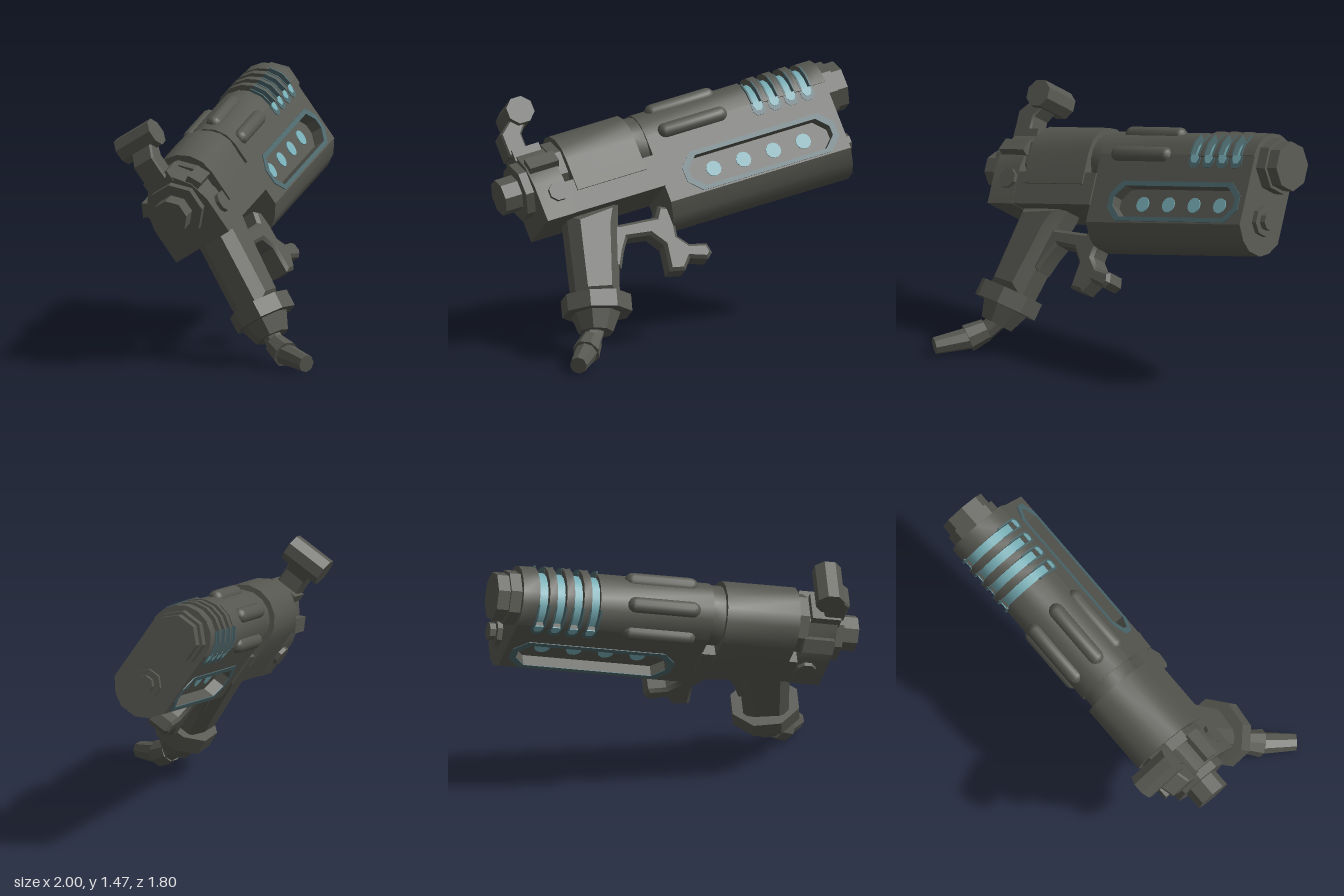
import * as THREE from 'three';
import { toCreasedNormals } from 'three/addons/utils/BufferGeometryUtils.js';

const V = (x, y, z) => new THREE.Vector3(x, y, z);

export function createModel() {
  const mat = (name, hex) => {
    const m = new THREE.MeshStandardMaterial({ color: hex });
    m.name = name;
    return m;
  };
  const metal = mat('gunmetal', 0x575751);
  const glow = mat('cyan glow', 0x77aeb6);
  const trim = mat('teal trim', 0x4b676b);

  // Built along +x (muzzle), y up, z = side; then tilted into its pose
  const gun = new THREE.Group();
  gun.name = 'blaster';

  function add(name, geo, material = metal) {
    const mesh = new THREE.Mesh(toCreasedNormals(geo, 0.6), material);
    mesh.name = name;
    gun.add(mesh);
    return mesh;
  }
  const shapeOf = pts => new THREE.Shape(pts.map(p => new THREE.Vector2(p[0], p[1])));
  const mirrorPts = half => [...half, ...half.slice().reverse().map(([z, y]) => [-z, y])];
  // Section in (z, y), swept from x0 to x1
  function sweepX(name, pts, x0, x1, material) {
    const g = new THREE.ExtrudeGeometry(shapeOf(pts), { depth: x1 - x0, bevelEnabled: false });
    return add(name, g.rotateY(Math.PI / 2).translate(x0, 0, 0), material);
  }
  // Profile in (x, y), thickened symmetrically along z with a bevel
  function slab(name, pts, width, bevel) {
    const g = new THREE.ExtrudeGeometry(shapeOf(pts), {
      depth: width - 2 * bevel, bevelThickness: bevel, bevelSize: bevel, bevelOffset: -bevel, bevelSegments: 1,
    });
    return add(name, g.translate(0, 0, -width / 2 + bevel));
  }
  function box(name, x0, x1, y0, y1, halfZ) {
    return add(name, new THREE.BoxGeometry(x1 - x0, y1 - y0, halfZ * 2).translate((x0 + x1) / 2, (y0 + y1) / 2, 0));
  }
  // Rod between two points
  function rod(name, a, b, ra, rb = ra, sides = 8, material = metal) {
    const d = b.clone().sub(a);
    const g = new THREE.CylinderGeometry(rb, ra, d.length(), sides).rotateY(Math.PI / sides);
    const m = add(name, g, material);
    m.position.copy(a).addScaledVector(d, 0.5);
    m.quaternion.setFromUnitVectors(V(0, 1, 0), d.normalize());
    return m;
  }
  // Half-round section, with straight walls down to base if given
  const AXIS = 1.03;
  const onArc = (r, i) => [r * Math.cos(i * Math.PI / 8), AXIS + r * Math.sin(i * Math.PI / 8)];
  const arch = (r, base) => {
    const pts = base ? [[-r, base], [r, base]] : [];
    for (let i = 0; i <= 8; i++) pts.push(onArc(r, i));
    return pts;
  };

  // Front housing: keel, narrow core behind the side panels, rounded top
  const X0 = 0.12, X1 = 1.25, W = 0.18, IN = 0.115;
  sweepX('frontHousing', mirrorPts([[0.05, 0.505], [0.12, 0.545], [W, 0.62], [IN, 0.62], [IN, AXIS]]), X0, X1);
  const VENT0 = 0.79, GAP = 0.056, RIB = 0.046, VENT1 = VENT0 + 4 * GAP + 3 * RIB;
  sweepX('housingTop', arch(W), X0, VENT0);
  sweepX('muzzleBlock', arch(W + 0.006), VENT1, X1);

  // Glowing vents between ribs
  sweepX('ventGlow', arch(0.155), VENT0, VENT1, glow);
  const ventX = i => VENT0 + i * (GAP + RIB);
  for (let i = 0; i < 3; i++) sweepX('ventRib', arch(0.192, 1.02), ventX(i) + GAP, ventX(i + 1));

  // Recessed side panels
  const hexagon = (x0, x1, y0, y1, c) => [
    [x0 + c, y0], [x1 - c, y0], [x1, y0 + c], [x1, y1 - c], [x1 - c, y1], [x0 + c, y1], [x0, y1 - c], [x0, y0 + c],
  ];
  const hole = () => new THREE.Path(hexagon(0.29, 1.175, 0.655, 0.84, 0.065).map(p => new THREE.Vector2(...p)));
  for (const s of [1, -1]) {
    const thick = (name, shape, z, depth, material) => add(name, new THREE.ExtrudeGeometry(shape,
      { depth, bevelEnabled: false }).translate(0, 0, s > 0 ? z : -z - depth), material);
    const plate = shapeOf([[X0, 0.62], [X1, 0.62], [X1, AXIS], [X0, AXIS]]);
    plate.holes.push(hole());
    thick('sidePlate', plate, IN, W - IN);
    const frame = shapeOf(hexagon(0.255, 1.21, 0.63, 0.868, 0.075));
    frame.holes.push(hole());
    thick('panelFrame', frame, W, 0.005, trim);
    for (let i = 0; i < 4; i++) {
      const x = 0.455 + i * 0.188;
      rod('panelLight', V(x, 0.75, s * IN), V(x, 0.75, s * (IN + 0.006)), 0.045, 0.045, 12, glow);
      // Teal edged lower end of each vent
      const v = ventX(i) + GAP / 2;
      const tongue = (h, y) => shapeOf([
        [v - h * 0.5, y], [v + h * 0.5, y], [v + h, y + 0.025], [v + h, AXIS], [v - h, AXIS], [v - h, y + 0.025],
      ]);
      thick('ventLip', tongue(0.04, 0.955), W, 0.004, trim);
      thick('ventEnd', tongue(GAP / 2, 0.982), W, 0.007, glow);
      // Teal edges climbing the sides of the vent
      const band = [onArc(0.15, 0), onArc(0.195, 0), onArc(0.195, 1), onArc(0.195, 2), onArc(0.15, 2), onArc(0.15, 1)]
        .map(([z, y]) => [-s * z, y]);
      for (const x of [v - GAP / 2 - 0.008, v + GAP / 2 - 0.002]) sweepX('ventEdge', band, x, x + 0.01, trim);
    }
    // Screw and raised block on the rear housing
    rod('sideScrew', V(-0.5, 0.865, s * 0.18), V(-0.5, 0.865, s * 0.215), 0.058);
    const lug = add('sideLug', new THREE.BoxGeometry(0.18, 0.085, 0.05));
    lug.position.set(-0.52, 1.06, s * 0.168);
    lug.rotation.x = -s * 0.5;
  }

  // Raised capsules around the housing top
  for (let i = 0; i < 4; i++) {
    const t = (i * Math.PI) / 3;
    add('raisedCapsule', new THREE.CapsuleGeometry(0.046, 0.34, 4, 12).rotateZ(Math.PI / 2))
      .position.set(0.415, AXIS + 0.168 * Math.sin(t), 0.168 * Math.cos(t));
  }

  // Muzzle and lower nozzle
  rod('muzzleCollar', V(1.24, AXIS, 0), V(1.315, AXIS, 0), 0.16);
  rod('muzzleTip', V(1.31, AXIS, 0), V(1.385, AXIS, 0), 0.142);
  rod('nozzleCollar', V(1.24, 0.7, 0), V(1.28, 0.7, 0), 0.088);
  rod('nozzleTip', V(1.27, 0.7, 0), V(1.315, 0.7, 0), 0.052);

  // Rear frame, drum and rear housing
  box('rearFrame', -0.615, 0.125, 0.72, 0.91, 0.19);
  sweepX('drum', arch(0.2, 0.84), -0.385, 0.045);
  rod('drumCollar', V(0.03, AXIS, 0), V(0.13, AXIS, 0), 0.17, 0.17, 16);
  sweepX('rearHousing', mirrorPts([[0.192, 0.718], [0.192, 0.94], [0.16, 1.06], [0.08, 1.16]]), -0.62, -0.44);
  rod('rearCollar', V(-0.45, AXIS, 0), V(-0.38, AXIS, 0), 0.17);
  rod('rearPlate', V(-0.67, 0.975, 0), V(-0.61, 0.975, 0), 0.165);
  rod('rearKnob', V(-0.775, 0.975, 0), V(-0.66, 0.975, 0), 0.105);

  // Rear sight
  box('sightBase', -0.63, -0.46, 1.13, 1.2, 0.085);
  slab('sightBracket', [[-0.65, 1.17], [-0.53, 1.17], [-0.53, 1.28], [-0.47, 1.35], [-0.54, 1.4], [-0.65, 1.31]], 0.14, 0.01);
  rod('sightTube', V(-0.5, 1.405, -0.135), V(-0.5, 1.405, 0.11), 0.083);

  // Grip and its end cap
  slab('grip', [[-0.455, 0.75], [-0.13, 0.75], [-0.19, 0.6], [-0.335, 0.2], [-0.585, 0.26]], 0.24, 0.06);
  const cap = add('gripCap', new THREE.CylinderGeometry(0.205, 0.205, 0.1, 8).rotateY(Math.PI / 8).scale(1, 1, 0.86));
  cap.position.set(-0.467, 0.205, 0.01);
  cap.rotation.z = -0.29;
  rod('capTaper', V(-0.485, 0.17, 0), V(-0.525, 0.06, 0), 0.145, 0.1);

  // Bent cable plug under the grip
  rod('plugNeck', V(-0.52, 0.08, 0), V(-0.59, -0.005, 0.02), 0.055);
  rod('plugElbow', V(-0.575, 0.02, 0.015), V(-0.65, -0.05, 0.07), 0.065, 0.08);
  rod('plugTip', V(-0.635, -0.04, 0.055), V(-0.77, -0.14, 0.2), 0.066, 0.05);

  // Trigger guard with hooked trigger
  slab('triggerGuard', [
    [-0.27, 0.64], [-0.18, 0.61], [0.04, 0.59], [0.08, 0.65], [0.19, 0.6], [0.14, 0.53], [0.125, 0.45], [0.175, 0.385],
    [0.275, 0.36], [0.285, 0.3], [0.25, 0.27], [0.15, 0.305], [0.095, 0.245], [0.005, 0.265], [0.03, 0.42],
    [-0.025, 0.5], [-0.16, 0.52], [-0.21, 0.45], [-0.26, 0.36], [-0.34, 0.4],
  ], 0.14, 0.018);

  // Tilt into pose
  const forward = V(0.852, 0.183, -0.49).normalize();
  const side = forward.clone().cross(V(-0.4, 0.83, -0.387)).normalize();
  const up = side.clone().cross(forward);
  gun.quaternion.setFromRotationMatrix(new THREE.Matrix4().makeBasis(forward, up, side));
  gun.position.copy(side).multiplyScalar(0.385);

  const model = new THREE.Group();
  model.name = 'model';
  model.add(gun);
  return model;
}
